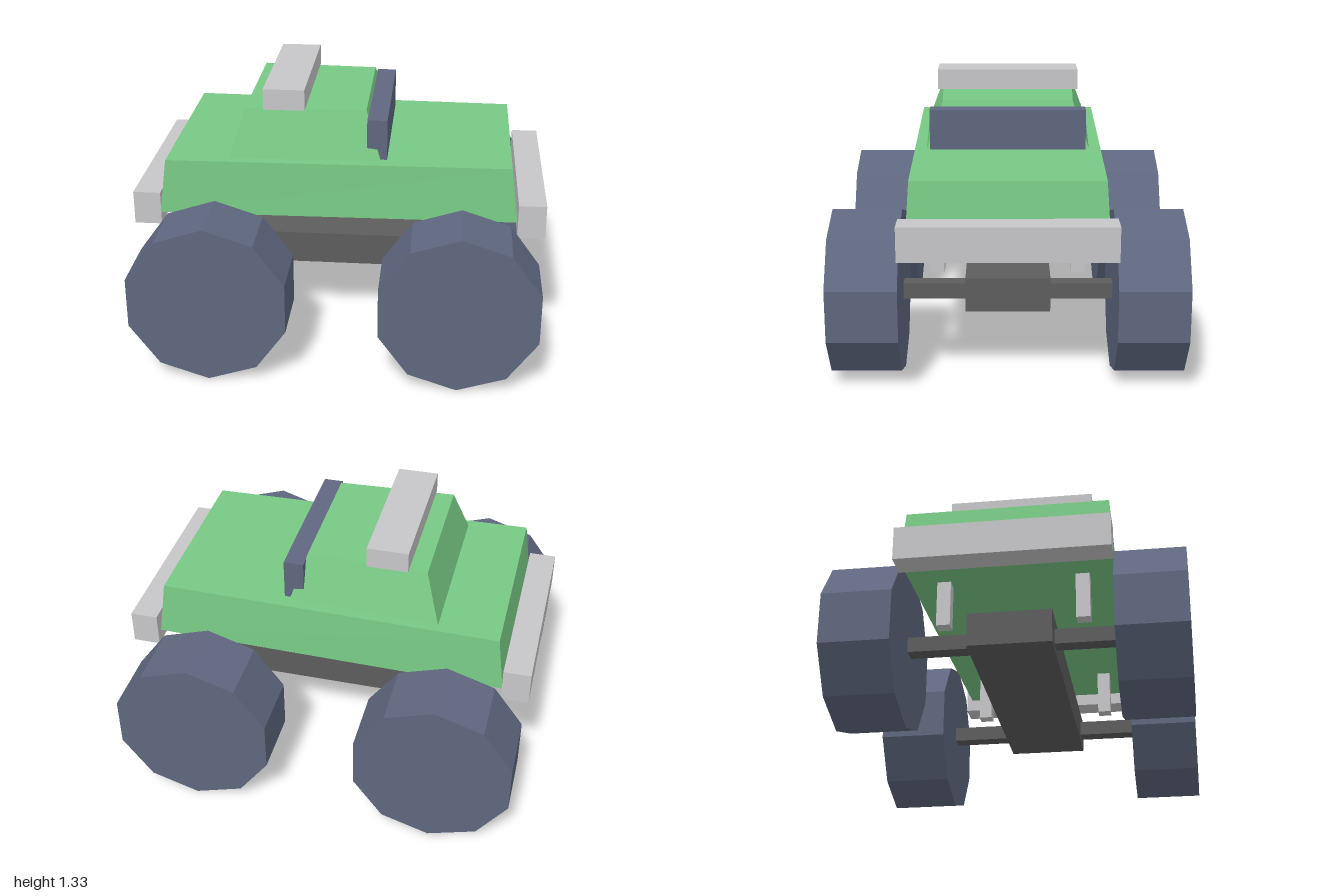
import * as THREE from 'three';

const material = (name, color) => {
  const m = new THREE.MeshStandardMaterial({ color });
  m.name = name;
  return m;
};

export function createModel() {
  const truck = new THREE.Group();
  truck.name = 'truck';
  const green = material('body green', 0x78c985);
  const slate = material('slate blue', 0x5f677f);
  const silver = material('light grey', 0xc7c7c9);
  const charcoal = material('dark grey', 0x5e5d5d);

  const add = (name, geometry, mat, x = 0, y = 0, z = 0) => {
    const mesh = new THREE.Mesh(geometry, mat);
    mesh.name = name;
    mesh.position.set(x, y, z);
    truck.add(mesh);
    return mesh;
  };

  // Box given by its minimum and maximum x and y, and its half width in z
  const box = (name, mat, x0, x1, y0, y1, halfZ) =>
    add(name, new THREE.BoxGeometry(x1 - x0, y1 - y0, halfZ * 2), mat, (x0 + x1) / 2, (y0 + y1) / 2);

  // Tapered box: each level is { y, rear: [x, halfZ], front: [x, halfZ] }
  const taperedBox = (bottom, top) => {
    const geometry = new THREE.BoxGeometry(1, 1, 1).toNonIndexed();
    const p = geometry.attributes.position;
    for (let i = 0; i < p.count; i++) {
      const level = p.getY(i) > 0 ? top : bottom;
      const [x, halfZ] = p.getX(i) > 0 ? level.front : level.rear;
      p.setXYZ(i, x, level.y, Math.sign(p.getZ(i)) * halfZ);
    }
    geometry.computeVertexNormals();
    return geometry;
  };

  // Body and cabin, both narrowing towards the nose (+x)
  add('body', taperedBox(
    { y: 0.73, rear: [-0.87, 0.5], front: [0.865, 0.468] },
    { y: 1.0, rear: [-0.835, 0.485], front: [0.83, 0.45] }), green);
  add('cabin', taperedBox(
    { y: 1.0, rear: [-0.535, 0.435], front: [0.2, 0.405] },
    { y: 1.23, rear: [-0.46, 0.35], front: [0.125, 0.325] }), green);

  // Windscreen, roof bar, frame
  box('windscreen', slate, 0.133, 0.23, 1.0, 1.2, 0.387);
  box('roofBar', silver, -0.37, -0.17, 1.23, 1.333, 0.365);
  box('chassis', charcoal, -0.735, 0.735, 0.335, 0.5, 0.2);

  // Bumpers, axles, shocks and wheels at both ends
  const wheelGeometry = new THREE.CylinderGeometry(0.4, 0.4, 0.33, 10).toNonIndexed();
  wheelGeometry.rotateX(Math.PI / 2);
  wheelGeometry.computeVertexNormals();
  const shockGeometry = new THREE.BoxGeometry(0.067, 0.25, 0.067);

  for (const [end, sx] of [['front', 1], ['rear', -1]]) {
    add(end + 'Bumper', new THREE.BoxGeometry(0.133, 0.165, 1), silver, sx * 0.9335, 0.75, 0);
    add(end + 'Axle', new THREE.BoxGeometry(0.08, 0.075, 1.02), charcoal, sx * 0.6, 0.403, 0);
    for (const [side, sz] of [['Left', 1], ['Right', -1]]) {
      add(end + side + 'Shock', shockGeometry, silver, sx * 0.6, 0.625, sz * 0.335);
      add(end + side + 'Wheel', wheelGeometry, slate, sx * 0.6, 0.4, sz * 0.665);
    }
  }
  return truck;
}
